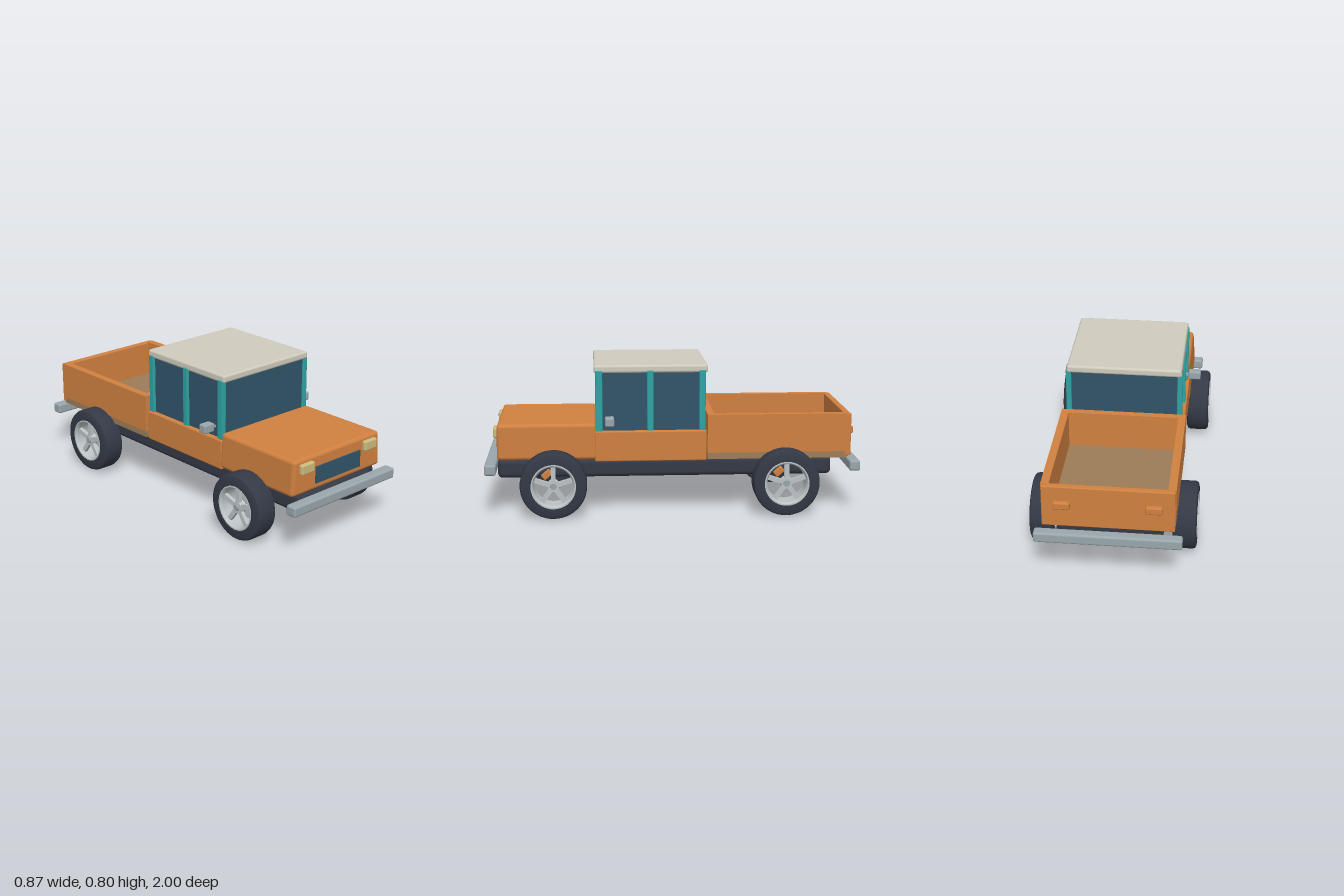
import * as THREE from 'three';
import { toCreasedNormals } from 'three/addons/utils/BufferGeometryUtils.js';
import { RoundedBoxGeometry } from 'three/addons/geometries/RoundedBoxGeometry.js';

const paint = (name, color) => {
  const m = new THREE.MeshStandardMaterial({ color });
  m.name = name;
  return m;
};

export function createModel() {
  const orange = paint('orange paint', 0xd08040);
  const rubber = paint('dark rubber', 0x343946);
  const glass = paint('blue glass', 0x315468);
  const teal = paint('teal trim', 0x2fa3a3);
  const cream = paint('cream roof', 0xcfcbbd);
  const steel = paint('grey steel', 0x99a6ab);
  const alloy = paint('light alloy', 0xbcc3c5);
  const lamp = paint('lamp yellow', 0xccba7c);
  const wood = paint('brown floor', 0x9c7c58);

  const truck = new THREE.Group();
  truck.name = 'pickupTruck';

  const add = (parent, name, geometry, material) => {
    const mesh = new THREE.Mesh(geometry, material);
    mesh.name = name;
    parent.add(mesh);
    return mesh;
  };

  // Box from its limits; a radius rounds the edges, taper narrows the top
  const block = (name, [x0, x1], [y0, y1], [z0, z1], material, radius = 0, taper = 0) => {
    const w = x1 - x0, h = y1 - y0, d = z1 - z0;
    const g = radius ? new RoundedBoxGeometry(w, h, d, 3, radius) : new THREE.BoxGeometry(w, h, d);
    if (taper) {
      const p = g.attributes.position;
      for (let i = 0; i < p.count; i++) {
        const k = 1 - taper * (p.getY(i) / h + 0.5);
        p.setX(i, p.getX(i) * k);
      }
    }
    const mesh = add(truck, name, g, material);
    mesh.position.set((x0 + x1) / 2, (y0 + y1) / 2, (z0 + z1) / 2);
    return mesh;
  };
  // The same box on both sides
  const pair = (name, [x0, x1], ys, zs, material, radius) => {
    block(name + 'Left', [x0, x1], ys, zs, material, radius);
    block(name + 'Right', [-x1, -x0], ys, zs, material, radius);
  };

  // Chassis and bumpers
  block('chassis', [-0.27, 0.27], [0.19, 0.288], [-0.86, 0.935], rubber, 0.025);
  block('frontBumper', [-0.373, 0.373], [0.228, 0.285], [0.938, 1], steel, 0.012);
  block('rearBumper', [-0.373, 0.373], [0.228, 0.285], [-1, -0.942], steel, 0.012);

  // Hood and lower cabin
  block('hood', [-0.327, 0.327], [0.298, 0.49], [0.405, 0.934], orange, 0.02, 0.04);
  block('lowerCabin', [-0.322, 0.322], [0.286, 0.45], [-0.18, 0.415], orange, 0.008);

  // Windows, pillars and roof
  block('cabinGlass', [-0.297, 0.297], [0.44, 0.77], [-0.165, 0.4], glass);
  for (const [name, z0, z1] of [['front', 0.373, 0.41], ['middle', 0.103, 0.137], ['rear', -0.174, -0.14]]) {
    pair(name + 'Pillar', [0.284, 0.313], [0.445, 0.772], [z0, z1], teal, 0.005);
  }
  block('roof', [-0.31, 0.31], [0.759, 0.8], [-0.187, 0.418], cream, 0.012, 0.015);

  // Load bed
  block('bedFloor', [-0.332, 0.332], [0.295, 0.335], [-0.932, -0.183], wood);
  pair('bedSide', [0.295, 0.336], [0.33, 0.536], [-0.932, -0.183], orange);
  block('bedFrontWall', [-0.295, 0.295], [0.33, 0.536], [-0.222, -0.183], orange);
  block('tailgate', [-0.333, 0.333], [0.305, 0.534], [-0.953, -0.918], orange, 0.006);
  pair('tailLamp', [0.188, 0.272], [0.414, 0.454], [-0.976, -0.945], orange, 0.008);

  // Grille, headlamps and mirrors
  block('grille', [-0.163, 0.163], [0.335, 0.425], [0.93, 0.942], glass);
  pair('headlamp', [0.185, 0.278], [0.411, 0.467], [0.92, 0.955], lamp, 0.01);
  pair('mirrorArm', [0.295, 0.33], [0.5, 0.512], [0.33, 0.345], steel);
  pair('mirror', [0.319, 0.387], [0.486, 0.533], [0.313, 0.361], steel, 0.008);

  // Wheel parts, with the axle along x and the outside at +x
  const ring = (pts, crease) => {
    const g = new THREE.LatheGeometry(pts.map(([r, y]) => new THREE.Vector2(r, y)), 48);
    return toCreasedNormals(g.rotateZ(-Math.PI / 2), crease);
  };
  const tireGeo = ring([[0.118, -0.061], [0.16, -0.061], [0.172, -0.055], [0.177, -0.042], [0.177, 0.042],
    [0.172, 0.055], [0.16, 0.061], [0.118, 0.061], [0.118, -0.061]], 0.7);
  const rimGeo = ring([[0.104, -0.056], [0.119, -0.056], [0.119, 0.064], [0.112, 0.064], [0.104, 0.05], [0.104, -0.056]], 0.5);
  const hubGeo = new THREE.CylinderGeometry(0.03, 0.034, 0.035, 24).rotateZ(-Math.PI / 2);
  const capGeo = new THREE.CylinderGeometry(0.016, 0.018, 0.012, 16).rotateZ(-Math.PI / 2);
  const spokeGeo = new THREE.BoxGeometry(0.02, 0.085, 0.025).translate(0, 0.066, 0);
  const caliperGeo = new RoundedBoxGeometry(0.03, 0.035, 0.055, 2, 0.006);

  for (const [end, z] of [['front', 0.636], ['rear', -0.598]]) {
    for (const side of [1, -1]) {
      const wheel = new THREE.Group();
      wheel.name = end + (side > 0 ? 'LeftWheel' : 'RightWheel');
      wheel.position.set(side * 0.37, 0.178, z);
      if (side < 0) wheel.rotation.y = Math.PI;
      add(wheel, 'tire', tireGeo, rubber);
      add(wheel, 'rim', rimGeo, alloy);
      add(wheel, 'hub', hubGeo, alloy).position.x = 0.03;
      add(wheel, 'hubCap', capGeo, steel).position.x = 0.051;
      for (let i = 0; i < 5; i++) {
        const spoke = add(wheel, 'spoke', spokeGeo, alloy);
        spoke.position.x = 0.035;
        spoke.rotation.x = (i / 5) * Math.PI * 2;
      }
      const caliper = add(wheel, 'brakeCaliper', caliperGeo, orange);
      caliper.position.set(-0.01, 0.052, side * 0.035);
      caliper.rotation.x = side * 0.7;
      truck.add(wheel);
    }
  }
  return truck;
}
